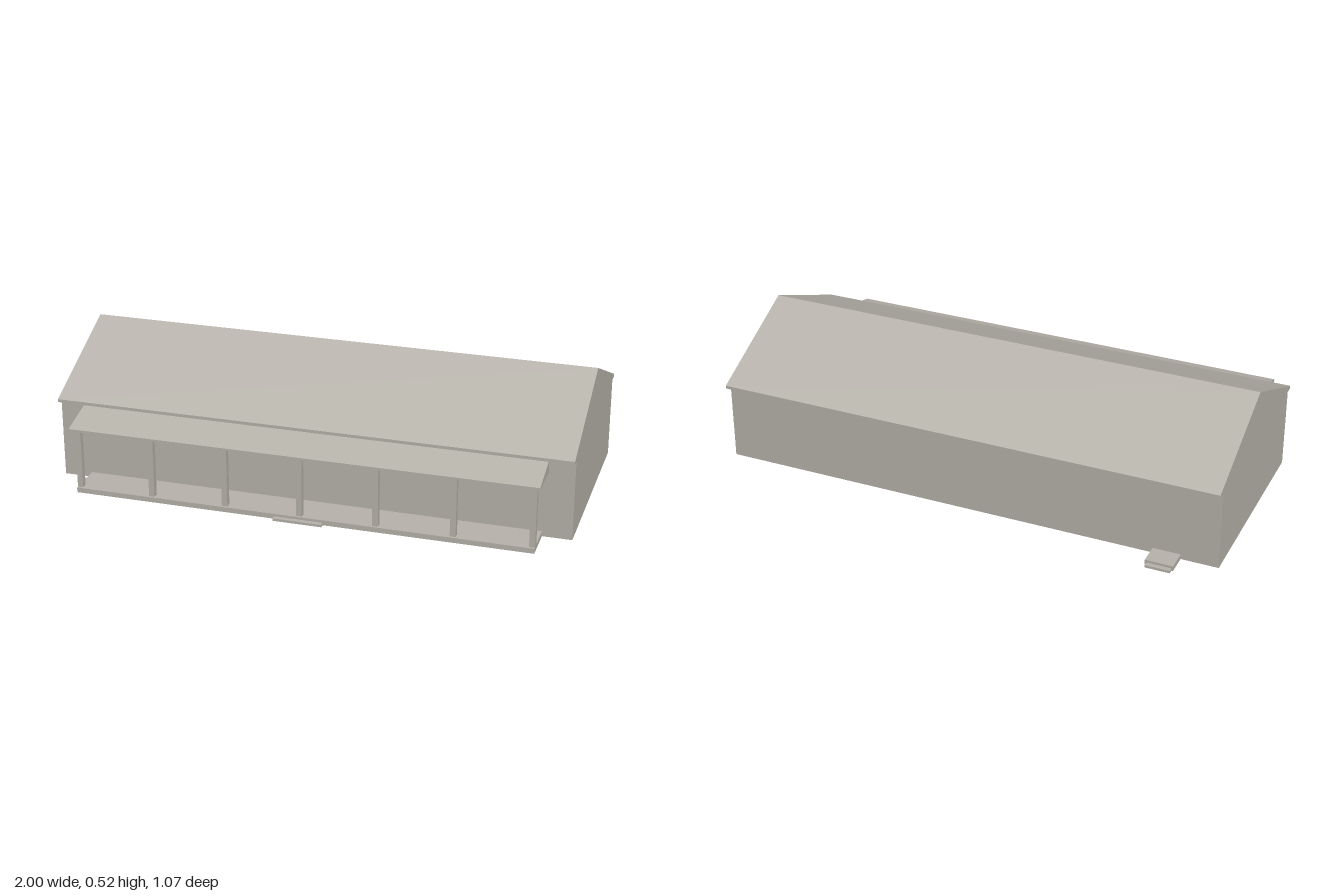
import * as THREE from 'three';

// House cross-section as [z, y], from the front wall foot over the ridge to the back wall foot
const HOUSE = [
  [0.37, 0], [0.37, 0.315], [0.401, 0.315], [0.401, 0.327], [-0.032, 0.52],
  [-0.466, 0.327], [-0.466, 0.315], [-0.431, 0.315], [-0.431, 0],
];
const PORCH_ROOF = [[0.37, 0.26], [0.53, 0.26], [0.53, 0.269], [0.37, 0.309]];

export function createModel() {
  const model = new THREE.Group();
  model.name = 'house';
  const stone = new THREE.MeshStandardMaterial({ color: 0xb8b4ac, side: THREE.DoubleSide });
  stone.name = 'warm grey';

  const add = (name, geometry, parent = model) => {
    const mesh = new THREE.Mesh(geometry, stone);
    mesh.name = name;
    parent.add(mesh);
    return mesh;
  };
  // Box given by its limits on each axis
  const box = (name, [x0, x1], [y0, y1], [z0, z1], parent) =>
    add(name, new THREE.BoxGeometry(x1 - x0, y1 - y0, z1 - z0), parent)
      .position.set((x0 + x1) / 2, (y0 + y1) / 2, (z0 + z1) / 2);
  const shapeOf = (points, sign = 1) =>
    new THREE.Shape(points.map(([z, y]) => new THREE.Vector2(sign * z, y)));

  // Walls and roof planes: one flat strip per section edge, open underneath
  const strip = (name, points) => {
    const v = [];
    for (let i = 0; i < points.length - 1; i++) {
      const [za, ya] = points[i], [zb, yb] = points[i + 1];
      v.push(-1, ya, za, 1, ya, za, 1, yb, zb, -1, ya, za, 1, yb, zb, -1, yb, zb);
    }
    const g = new THREE.BufferGeometry();
    g.setAttribute('position', new THREE.Float32BufferAttribute(v, 3));
    g.computeVertexNormals();
    add(name, g);
  };
  strip('frontWall', HOUSE.slice(0, 2));
  strip('roof', HOUSE.slice(1, 8));
  strip('backWall', HOUSE.slice(7));

  // Gable ends, flush with the roof edges
  for (const side of [-1, 1]) {
    const g = new THREE.ShapeGeometry(shapeOf(HOUSE, -side));
    g.rotateY(side * Math.PI / 2).translate(side, 0, 0);
    add(side > 0 ? 'leftGable' : 'rightGable', g);
  }

  // Porch
  const porch = new THREE.Group();
  porch.name = 'porch';
  model.add(porch);
  box('porchDeck', [-0.888, 0.888], [0, 0.02], [0.37, 0.515], porch);
  box('porchStep', [-0.095, 0.095], [0, 0.01], [0.515, 0.533], porch);
  box('porchLedger', [-0.902, 0.902], [0.253, 0.309], [0.345, 0.374], porch);
  const canopy = new THREE.ExtrudeGeometry(shapeOf(PORCH_ROOF), { depth: 1.804, bevelEnabled: false });
  canopy.rotateY(-Math.PI / 2).translate(0.902, 0, 0);
  add('porchRoof', canopy, porch);
  for (let i = -3; i <= 3; i++) {
    const x = i * 0.2925;
    box('porchPost', [x - 0.011, x + 0.011], [0.001, 0.26], [0.483, 0.506], porch);
  }

  // Back door steps
  box('backLanding', [-0.855, -0.747], [0, 0.02], [-0.515, -0.431]);
  box('backStep', [-0.849, -0.754], [0, 0.01], [-0.533, -0.515]);

  return model;
}
